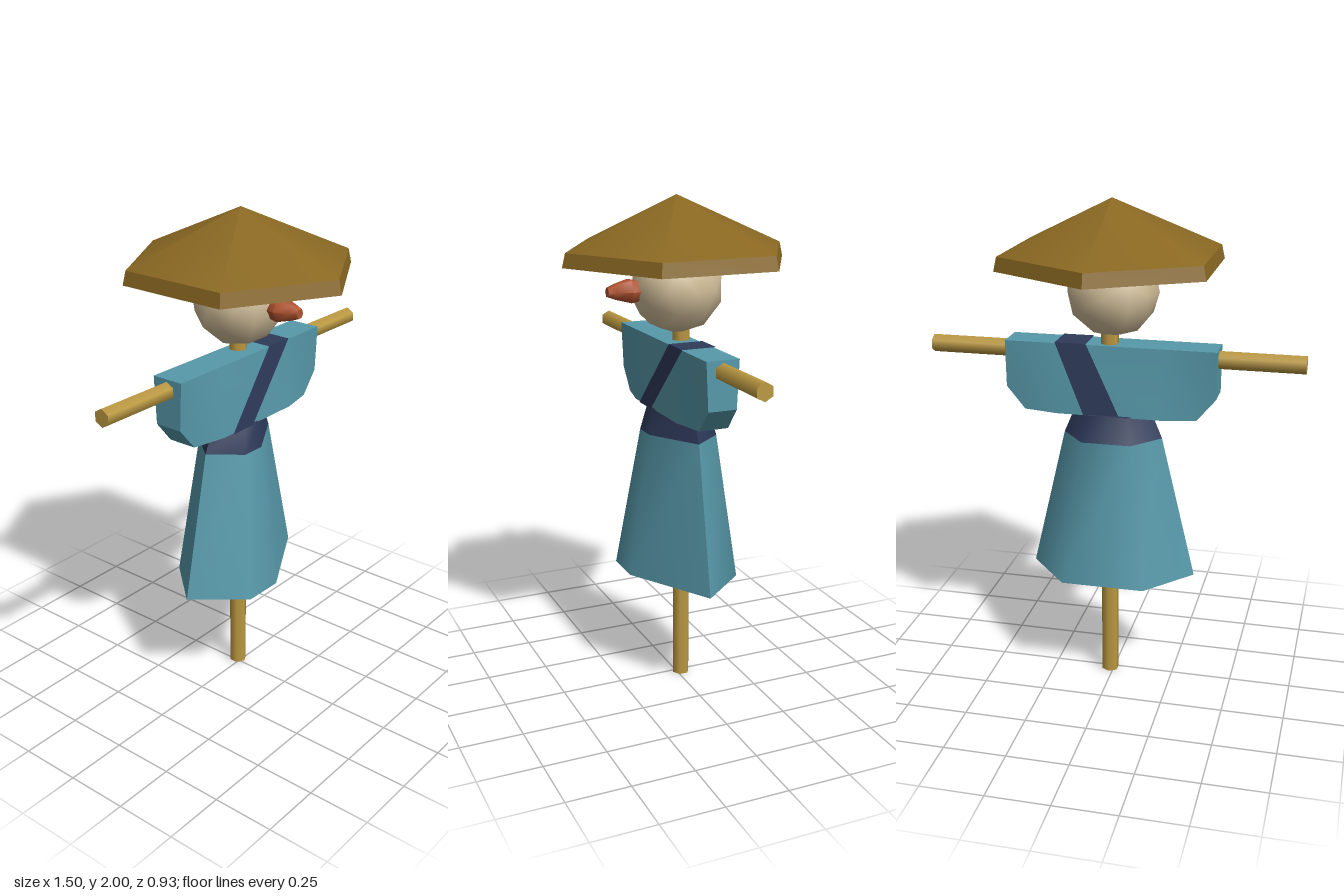
import * as THREE from 'three';
import { toCreasedNormals } from 'three/addons/utils/BufferGeometryUtils.js';

const material = (name, color) => {
  const m = new THREE.MeshStandardMaterial({ color });
  m.name = name;
  return m;
};

// Skin matching rings of [x, y, z] corners, with optional flat ends
function loft(rings, closed = true, crease = 0.9) {
  const pos = [];
  const tri = (...p) => p.forEach((v) => pos.push(...v));
  const n = rings[0].length;
  for (let r = 0; r < rings.length - 1; r++) {
    for (let i = 0; i < (closed ? n : n - 1); i++) {
      const j = (i + 1) % n;
      const [a, b, c, d] = [rings[r][i], rings[r][j], rings[r + 1][j], rings[r + 1][i]];
      tri(a, b, c);
      tri(a, c, d);
    }
  }
  if (closed) {
    const first = rings[0], last = rings[rings.length - 1];
    for (let i = 1; i < n - 1; i++) {
      tri(first[0], first[i + 1], first[i]);
      tri(last[0], last[i], last[i + 1]);
    }
  }
  const g = new THREE.BufferGeometry();
  g.setAttribute('position', new THREE.Float32BufferAttribute(pos, 3));
  return toCreasedNormals(g, crease);
}

const lathe = (points, sides, start = 0) =>
  new THREE.LatheGeometry(points.map((p) => new THREE.Vector2(...p)), sides, start);

export function createModel() {
  const group = new THREE.Group();
  const cloth = material('teal cloth', 0x5799aa);
  const navy = material('navy cloth', 0x2e3a5a);
  const wood = material('pale wood', 0xbd9a42);
  const straw = material('brown straw', 0x8a6822);
  const sack = material('sackcloth', 0xd2bf9a);
  const carrot = material('carrot orange', 0xb0532f);

  const add = (name, geometry, mat, x = 0, y = 0, z = 0) => {
    const mesh = new THREE.Mesh(geometry, mat);
    mesh.name = name;
    mesh.position.set(x, y, z);
    group.add(mesh);
    return mesh;
  };

  // Wooden cross
  add('pole', new THREE.CylinderGeometry(0.036, 0.036, 1.52, 6), wood, 0.015, 0.76, -0.018);
  const bar = new THREE.CylinderGeometry(0.036, 0.036, 1.5, 6);
  bar.rotateY(Math.PI / 2).rotateZ(Math.PI / 2);
  add('crossbar', bar, wood, 0, 1.395, -0.003);

  // Skirt and belt share one lopsided six-cornered outline
  const hem = [[-0.34, 0], [-0.175, 0.198], [-0.01, 0.2], [0.34, 0], [0.17, -0.197], [-0.165, -0.197]];
  const ring = (y, sx, sz, cz) => hem.map(([x, z]) => [0.005 + x * sx, y, cz + z * sz]);
  const waist = ring(1.06, 0.59, 0.62, -0.01);
  add('skirt', loft([ring(0.47, 1, 1, 0.001), waist]), cloth);
  add('belt', loft([waist, ring(1.165, 0.46, 0.5, -0.008)]), navy);

  // Torso with wide sleeves, lofted along x
  const sleeve = [[-0.415, 1.25, 0.058], [-0.34, 1.16, 0.06], [-0.2, 1.16, 0.09],
    [0.215, 1.16, 0.09], [0.355, 1.16, 0.06], [0.43, 1.25, 0.058]];
  add('torsoAndSleeves', loft(sleeve.map(([x, y, h]) =>
    [[x, y, h], [x, y, -h], [x, 1.44, -0.067], [x, 1.44, 0.067]]), true, 0.6), cloth);

  // Sash: a thin strip up the front, over the shoulder and down the back
  const sash = [[-0.15, -0.03, 1.158, 0.094], [0.1, 0.225, 1.444, 0.071],
    [0.1, 0.225, 1.444, -0.071], [-0.04, 0.105, 1.158, -0.094]];
  add('sash', loft(sash.map(([l, r, y, z]) => [[l, y, z], [r, y, z]]), false), navy);

  // Head and nose
  add('head', new THREE.IcosahedronGeometry(0.183, 1), sack, 0.005, 1.648, -0.003);
  const nose = lathe([[0, 0.12], [0.04, 0.14], [0.05, 0.195], [0.032, 0.255], [0.02, 0.285], [0, 0.285]],
    6, Math.PI / 2);
  nose.rotateX(Math.PI / 2);
  add('nose', toCreasedNormals(nose, 1.1), carrot, 0.005, 1.642, 0);

  // Six-sided conical hat with a thick rim
  const hat = lathe([[0, 1.745], [0.463, 1.745], [0.45, 1.8], [0, 2]], 6);
  add('hat', toCreasedNormals(hat, 0.8), straw, 0.01, 0, 0);

  return group;
}
